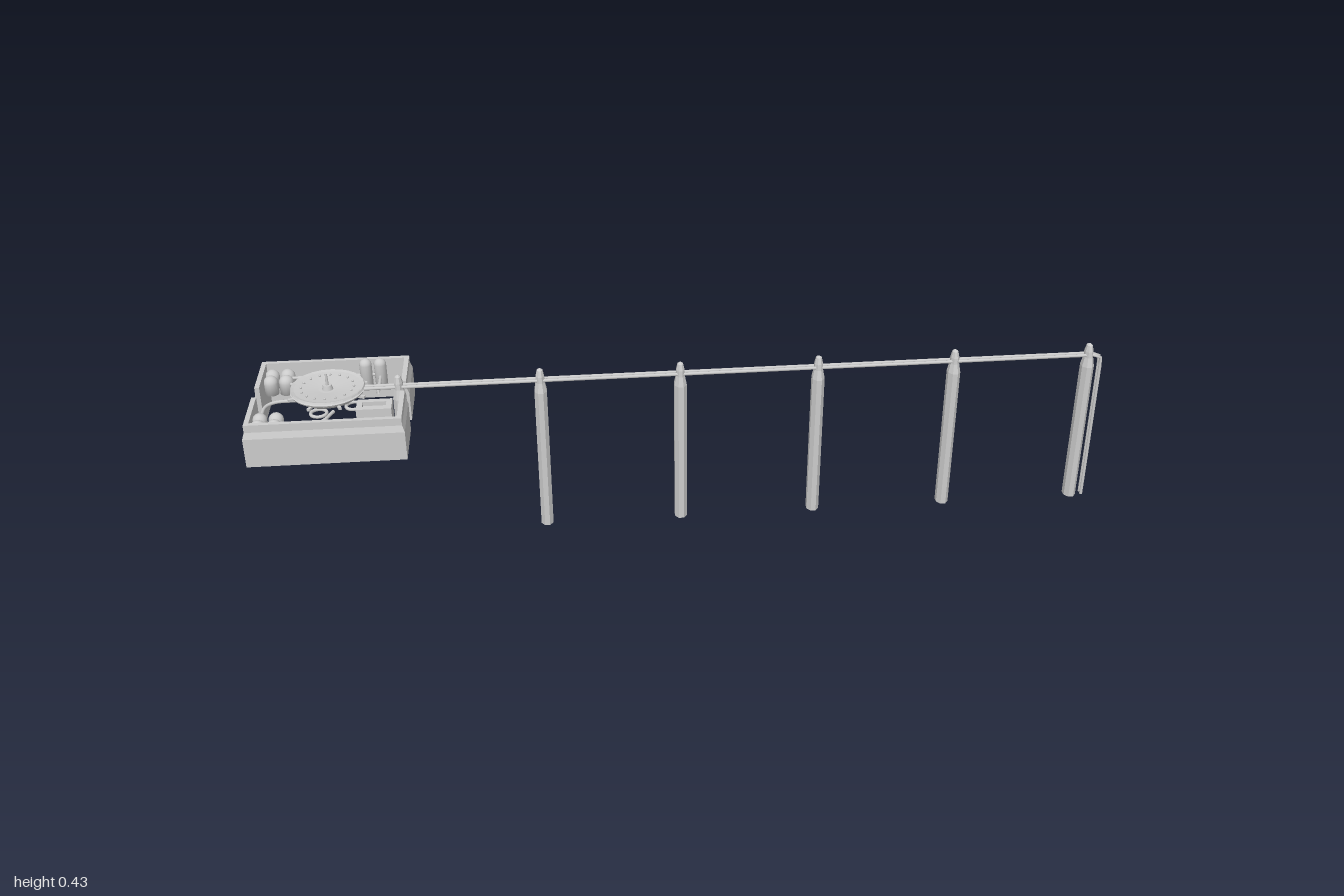
import * as THREE from 'three';

const grey = new THREE.MeshStandardMaterial({ color: 0xcccccc, side: THREE.DoubleSide });
const facet = new THREE.MeshStandardMaterial({ color: 0xcccccc, side: THREE.DoubleSide, flatShading: true });
const V = (x, y, z) => new THREE.Vector3(x, y, z);

function add(parent, name, geometry, material = grey, x = 0, y = 0, z = 0) {
  const mesh = new THREE.Mesh(geometry, material);
  mesh.name = name;
  mesh.position.set(x, y, z);
  parent.add(mesh);
  return mesh;
}

const lathe = (pts, n) => new THREE.LatheGeometry(pts.map(p => new THREE.Vector2(...p)), n);

// Pipe of straight runs with rounded corners
function pipe(parent, name, pts, r, bend = 0.02) {
  const path = new THREE.CurvePath();
  let from = pts[0];
  for (let i = 1; i < pts.length - 1; i++) {
    const a = pts[i].clone().add(pts[i - 1].clone().sub(pts[i]).setLength(bend));
    const b = pts[i].clone().add(pts[i + 1].clone().sub(pts[i]).setLength(bend));
    path.add(new THREE.LineCurve3(from, a));
    path.add(new THREE.QuadraticBezierCurve3(a, pts[i], b));
    from = b;
  }
  path.add(new THREE.LineCurve3(from, pts[pts.length - 1]));
  return add(parent, name, new THREE.TubeGeometry(path, pts.length > 2 ? 100 : 1, r, 8));
}

// U-shaped half of the perimeter wall: a profile swept round two corners
function wallGeometry(side) {
  const profile = [[0, 0.285], [0, 0.355], [0.005, 0.37], [0.005, 0.388], [0.016, 0.388], [0.016, 0.285]];
  const path = [[-1, 0], [-1, 1], [1, 1], [1, 0]];
  const n = profile.length, pos = [], idx = [];
  for (const [sx, corner] of path)
    for (const [inset, y] of profile)
      pos.push(-0.8225 + sx * (0.1775 - inset), y, side * (corner ? 0.16 - inset : 0.023));
  const tri = (a, b, c) => side > 0 ? idx.push(a, b, c) : idx.push(a, c, b);
  for (let i = 0; i < 3; i++)
    for (let j = 0; j < n; j++) {
      const k = (j + 1) % n, a = i * n, b = a + n;
      tri(a + j, b + j, b + k);
      tri(a + j, b + k, a + k);
    }
  for (let j = 0; j < n - 2; j++) {
    tri(n - 1, j, j + 1);
    tri(4 * n - 1, 3 * n + j + 1, 3 * n + j);
  }
  const g = new THREE.BufferGeometry();
  g.setAttribute('position', new THREE.Float32BufferAttribute(pos, 3));
  g.setIndex(idx);
  g.computeVertexNormals();
  return g;
}

// Domed storage tank
function tank(parent, x, z, r, bottom, top) {
  const pts = [[0, bottom], [r, bottom]];
  for (let i = 0; i <= 6; i++) {
    const a = i / 6 * Math.PI / 2;
    pts.push([r * Math.cos(a), top - r + r * Math.sin(a)]);
  }
  add(parent, 'tank', lathe(pts, 16), grey, x, 0, z);
}

// Octagonal post with a narrowed neck and rounded cap
function post(parent, name, x, bottom) {
  const g = lathe([[0, bottom], [0.0205, bottom], [0.0205, 0.362], [0.0145, 0.385],
    [0.0135, 0.4], [0.009, 0.415], [0, 0.42]], 8);
  g.rotateY(Math.PI / 8);
  g.scale(0.77, 1, 1);
  add(parent, name, g, facet, x, 0, 0.004);
}

export function createModel() {
  const model = new THREE.Group();
  model.name = 'pumpingStation';

  for (const side of [1, -1])
    add(model, side > 0 ? 'frontWall' : 'backWall', wallGeometry(side), facet);

  // Central round platform with shallow dish top
  const dish = new THREE.Group();
  dish.name = 'dish';
  dish.position.set(-0.826, 0, 0);
  model.add(dish);
  add(dish, 'dishBody', lathe([[0, 0.372], [0.07, 0.375], [0.083, 0.385], [0.085, 0.389], [0.079, 0.391],
    [0.085, 0.393], [0.083, 0.397], [0.076, 0.395], [0.02, 0.389], [0, 0.389]], 24), facet);
  add(dish, 'mastBase', new THREE.CylinderGeometry(0.01, 0.013, 0.012, 12), grey, 0, 0.394, 0);
  add(dish, 'mast', new THREE.CylinderGeometry(0.0025, 0.004, 0.034, 8), grey, 0, 0.411, 0);
  for (let i = 0; i < 16; i++) {
    const a = i / 16 * Math.PI * 2;
    const c = Math.cos(a), s = Math.sin(a);
    add(dish, 'stud', new THREE.SphereGeometry(0.003, 8, 6), grey, c * 0.06, 0.395, s * 0.06);
    if (i % 2) {
      const tooth = add(dish, 'rimTooth', new THREE.BoxGeometry(0.014, 0.006, 0.007), grey, c * 0.086, 0.382, s * 0.086);
      tooth.rotation.y = -a;
    }
  }
  // Loops of pipe round the rim
  for (const deg of [-100, -40, 40, 100, 212]) {
    const a = deg * Math.PI / 180;
    const loop = add(dish, 'rimLoop', new THREE.TorusGeometry(0.018, 0.004, 8, 20),
      grey, Math.cos(a) * 0.081, 0.37, Math.sin(a) * 0.081);
    loop.rotation.x = Math.PI / 2;
  }

  // Two clusters of four tanks and a taller pair
  for (const x of [-0.97, -0.934]) {
    for (const z of [-0.126, -0.094, 0.088, 0.12]) tank(model, x, z, 0.017, 0.335, 0.38);
  }
  for (const x of [-0.75, -0.716]) tank(model, x, -0.114, 0.0145, 0.335, 0.404);

  // Control building with recessed roof
  const roof = new THREE.Shape();
  roof.moveTo(-0.039, -0.024).lineTo(0.039, -0.024).lineTo(0.039, 0.024).lineTo(-0.039, 0.024).closePath();
  const hole = new THREE.Path();
  hole.moveTo(-0.026, -0.011).lineTo(-0.026, 0.011).lineTo(0.026, 0.011).lineTo(0.026, -0.011).closePath();
  roof.holes.push(hole);
  const parapet = new THREE.ExtrudeGeometry(roof, { depth: 0.01, bevelEnabled: false });
  parapet.rotateX(-Math.PI / 2);
  add(model, 'buildingRoofRim', parapet, grey, -0.711, 0.394, 0.112);
  add(model, 'building', new THREE.BoxGeometry(0.078, 0.058, 0.048), grey, -0.711, 0.365, 0.112);

  // Pipes between tanks and platform
  const y = 0.362;
  pipe(model, 'backFeedPipe', [V(-0.934, y, -0.115), V(-0.716, y, -0.115), V(-0.716, y, -0.02)], 0.004);
  pipe(model, 'backLinkPipe', [V(-0.934, y, -0.094), V(-0.87, y, -0.04)], 0.004);
  pipe(model, 'frontLeadPipe', [V(-0.97, y, 0.088), V(-0.97, y, 0), V(-0.9, y, 0)], 0.004, 0.045);
  pipe(model, 'frontFeedPipe', [V(-0.934, y, 0.12), V(-0.835, y, 0.12), V(-0.81, y, 0.06)], 0.004, 0.035);

  // Supporting posts, the first one standing in the wall gap
  post(model, 'gatePost', -0.665, 0.279);
  for (let i = 0; i < 5; i++) post(model, 'supportPost', -0.341 + i * 0.3267, 0);

  // Twin pipeline turning down at the far end
  for (const z of [-0.002, 0.01])
    pipe(model, 'pipeline', [V(-0.75, 0.39, z), V(0.996, 0.39, z), V(0.996, 0, z)], 0.004, 0.015);

  return model;
}
